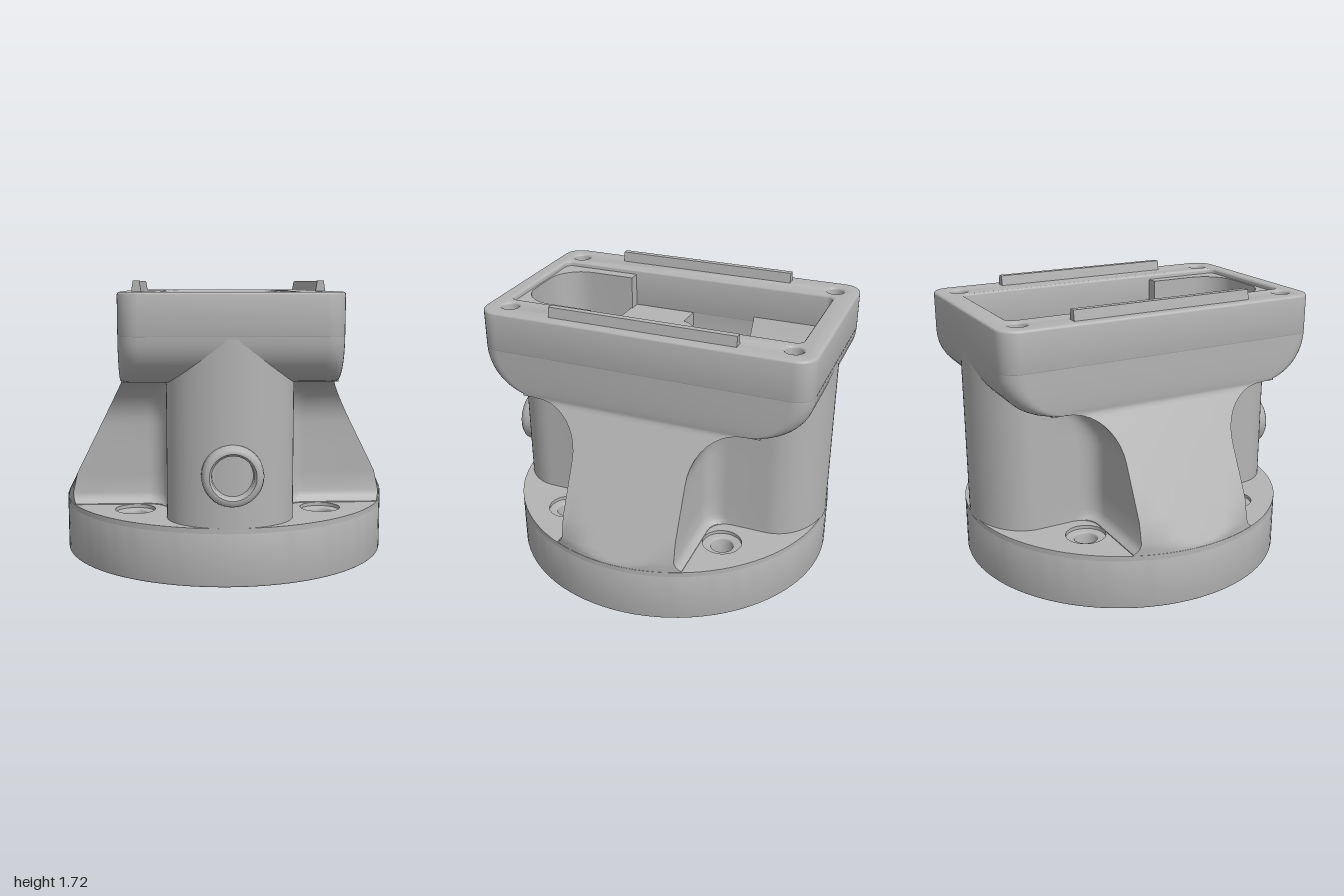
import * as THREE from 'three';
import { toCreasedNormals } from 'three/addons/utils/BufferGeometryUtils.js';

const metal = new THREE.MeshStandardMaterial({ color: 0xb4b4b4, side: THREE.DoubleSide });
metal.name = 'cast metal';

const V2 = (x, z) => new THREE.Vector2(x, z);
const END = 0.27; // depth of the body's curved ends

// Rounded rectangle in plan, as a closed ring of points
function roundedRect(hx, z0, z1, r, n = 8) {
  const pts = [];
  const corners = [[hx - r, z1 - r], [-hx + r, z1 - r], [-hx + r, z0 + r], [hx - r, z0 + r]];
  corners.forEach(([cx, cz], q) => {
    for (let i = 0; i <= n; i++) {
      const a = (q + i / n) * Math.PI / 2;
      pts.push(V2(cx + r * Math.cos(a), cz + r * Math.sin(a)));
    }
  });
  return pts;
}

function circle(cx, cz, r, n = 40) {
  return Array.from({ length: n }, (_, i) => {
    const a = i / n * Math.PI * 2;
    return V2(cx + r * Math.cos(a), cz + r * Math.sin(a));
  });
}

// Plan outline with holes, standing between two heights
function slab(outline, holes, y0, y1, bevel = 0) {
  const shape = new THREE.Shape(outline);
  shape.holes = holes.map(h => new THREE.Path(h));
  const g = new THREE.ExtrudeGeometry(shape, {
    depth: y1 - y0 - 2 * bevel, bevelEnabled: bevel > 0, bevelThickness: bevel,
    bevelSize: bevel, bevelOffset: -bevel, bevelSegments: 3, curveSegments: 24,
  });
  g.rotateX(Math.PI / 2).translate(0, y1 - bevel, 0);
  return toCreasedNormals(g, 0.6);
}

// Skin over plan rings stacked at given heights: rows of [y, ring]
function loft(rows) {
  const n = rows[0][1].length, pos = [], idx = [];
  rows.forEach(([y, ring]) => ring.forEach(p => pos.push(p.x, y, p.y)));
  for (let j = 0; j < rows.length - 1; j++) for (let i = 0; i < n; i++) {
    const a = j * n + i, b = j * n + (i + 1) % n;
    idx.push(a, a + n, b, b, a + n, b + n);
  }
  const g = new THREE.BufferGeometry();
  g.setAttribute('position', new THREE.Float32BufferAttribute(pos, 3));
  g.setIndex(idx);
  return toCreasedNormals(g, 0.6);
}

// Cross-shaped section of the pedestal: sloping side webs and round-ended body
function pedestalRing(y) {
  const R = 0.97, hx = 0.35;
  const reach = 0.6 + Math.max(0, 1.16 - y) * 0.5;
  const rise = Math.min(Math.max(y - 0.89, 0), 0.2799);
  const foot = 0.04 * Math.min(1, Math.max(0, 1 - (y - 0.42) / 0.06)) ** 2;
  const hw = Math.min(0.6, 0.625 - Math.sqrt(0.28 ** 2 - rise ** 2) + foot);
  const f = Math.min(0.11, 0.69 - hw);
  const quad = [];
  for (let i = 0; i <= 8; i++) {
    const z = hw * i / 8;
    quad.push(V2(Math.min(reach, Math.sqrt(R * R - z * z)), z));
  }
  for (let i = 0; i <= 6; i++) {
    const a = i / 6 * Math.PI / 2;
    quad.push(V2(hx + f - f * Math.sin(a), hw + f - f * Math.cos(a)));
  }
  for (let i = 0; i <= 16; i++) {
    const a = i / 16 * Math.PI / 2;
    quad.push(V2(hx * Math.cos(a), 0.975 - END + END * Math.sin(a)));
  }
  const left = quad.slice(0, -1).reverse().map(p => V2(-p.x, p.y));
  const half = [...quad, ...left];
  return [...half, ...half.slice(1, -1).reverse().map(p => V2(p.x, -p.y))];
}

export function createModel() {
  const model = new THREE.Group();
  model.name = 'housing';
  const add = (name, geometry) => {
    const m = new THREE.Mesh(geometry, metal);
    m.name = name;
    m.position.z = -0.025;
    model.add(m);
  };

  // Round flange with counterbored bolt holes and one blind hole
  const bolts = [];
  for (const sx of [-1, 1]) for (const sz of [-1, 1]) bolts.push([sx * 0.535, sz * 0.5]);
  const boltHoles = r => bolts.map(([x, z]) => circle(x, z, r, 24));
  add('flange', slab(circle(0, 0, 0.972, 96),
    [circle(0, 0, 0.36), circle(0.73, 0, 0.055, 20), ...boltHoles(0.065)], 0.09, 0.395, 0.01));
  add('flangeTop', slab(circle(0, 0, 0.972, 96), [circle(0, 0, 0.36), ...boltHoles(0.115)], 0.385, 0.415));

  // Locating ring underneath
  add('spigot', slab(circle(0, 0, 0.412, 64), [circle(0, 0, 0.345, 64)], 0, 0.12, 0.012));

  // Pedestal
  const rows = [0.4, 0.42, 0.435, 0.45, 0.48, 0.6, 0.75, 0.89];
  for (let i = 1; i <= 10; i++) rows.push(0.89 + 0.28 * Math.sin(i / 10 * Math.PI / 2));
  add('pedestal', loft(rows.map(y => [y, pedestalRing(y)])));

  // Round ends of the body running up into the top box
  for (const s of [-1, 1]) {
    const end = new THREE.CylinderGeometry(0.35, 0.35, 0.26, 40, 1, true, -Math.PI / 2, Math.PI);
    end.scale(1, 1, END / 0.35);
    if (s < 0) end.rotateY(Math.PI);
    add('bodyEnd', end.translate(0, 1.29, s * (0.975 - END)));
  }

  // Top box: rounded underside, then a straight rim with screw holes
  const under = [];
  for (let i = 0; i <= 10; i++) {
    const a = i / 10 * Math.PI / 2;
    const hz = 0.715 + 0.26 * Math.sin(a);
    under.push([1.43 - 0.26 * Math.cos(a), roundedRect(0.6, -hz, hz, 0.11)]);
  }
  add('boxUnderside', loft(under));
  const pocket = roundedRect(0.36, -0.85, 0.89, 0.04);
  const screws = [];
  for (const x of [-0.46, 0.46]) for (const z of [-0.835, 0.835]) screws.push(circle(x, z, 0.05, 20));
  add('rim', slab(roundedRect(0.6, -0.975, 0.975, 0.11), [pocket, ...screws], 1.42, 1.66, 0.014));
  const pocketBase = roundedRect(0.34, -0.77, 0.77, 0.12);
  add('pocketWall', loft([[1.17, pocketBase], [1.27, pocket], [1.43, pocket]]));
  for (const s of [-1, 1]) {
    add('boxFloor', new THREE.BoxGeometry(0.25, 0.01, 1.43).translate(s * 0.47, 1.175, 0));
    // Long rail on the rim
    const rail = new THREE.Shape([V2(-0.028, 0), V2(0.028, 0), V2(0.018, 0.06), V2(-0.018, 0.06)]);
    add('rail', new THREE.ExtrudeGeometry(rail, { depth: 1.1, bevelEnabled: false })
      .translate(s * 0.513, 1.658, -0.55));
    // Sloping sides of the rear pocket
    const ramp = new THREE.Shape([V2(s * 0.29, 1.26), V2(s * 0.12, 1.18), V2(s * 0.14, 1.22),
      V2(s * 0.29, 1.35), V2(s * 0.36, 1.46), V2(s * 0.36, 1.29)]);
    add('pocketRamp', new THREE.ExtrudeGeometry(ramp, { depth: 0.47, bevelEnabled: false })
      .translate(0, 0, -0.84));
  }

  // Bore, widened by a rear slot in its upper part
  const bore = new THREE.CylinderGeometry(0.36, 0.36, 0.75, 48, 1, true);
  add('bore', bore.translate(0, 0.475, 0));
  const keyhole = [V2(-0.12, -0.73), V2(-0.1, -0.755), V2(0.1, -0.755), V2(0.12, -0.73)];
  const gap = Math.asin(0.12 / 0.36);
  for (let i = 0; i <= 40; i++) {
    const a = -Math.PI / 2 + gap + (Math.PI * 2 - 2 * gap) * i / 40;
    keyhole.push(V2(0.36 * Math.cos(a), 0.36 * Math.sin(a)));
  }
  add('upperBore', loft([[0.85, keyhole], [1.17, keyhole]]));
  add('slotFloor', new THREE.BoxGeometry(0.24, 0.01, 0.405).translate(0, 0.85, -0.5575));
  add('pocketFloor', slab(roundedRect(0.365, -0.77, 0.77, 0.12), [keyhole], 1.165, 1.175));

  // Front shelf with a bored half-round boss
  const shelf = [V2(0.36, 0.025), V2(0.36, 0.42), V2(-0.36, 0.42), V2(-0.36, 0.025)];
  for (let i = 0; i <= 20; i++) {
    const a = Math.PI * (1.115 + 0.77 * i / 20);
    shelf.push(V2(0.225 * Math.cos(a), 0.11 + 0.225 * Math.sin(a)));
  }
  add('shelf', slab(shelf, [circle(0, 0.135, 0.098, 32)], 1.2, 1.43));

  // Ledge round the front recess, which is narrower than the pocket
  const recess = [V2(-0.29, 0.41), V2(0.29, 0.41)];
  for (let i = 0; i <= 16; i++) {
    const a = i / 16 * Math.PI;
    recess.push(V2(0.09 * Math.sign(Math.round(Math.cos(a) * 1e6)) + 0.2 * Math.cos(a), 0.68 + 0.2 * Math.sin(a)));
  }
  const ledge = [V2(0.36, 0.41), V2(0.36, 0.9), V2(-0.36, 0.9), V2(-0.36, 0.41), ...recess.slice(0, 1),
    ...recess.slice(2).reverse(), recess[1]];
  add('recessLedge', slab(ledge, [], 1.29, 1.63));
  add('recessFloor', new THREE.BoxGeometry(0.62, 0.01, 0.49).translate(0, 1.36, 0.645));

  // Raised port ring on the front
  const port = new THREE.LatheGeometry([V2(0, 0.11), V2(0.11, 0.11), V2(0.113, 0.155), V2(0.125, 0.17),
    V2(0.145, 0.17), V2(0.16, 0.155), V2(0.166, 0.13), V2(0.166, 0)], 40);
  port.rotateX(Math.PI / 2);
  add('portRing', toCreasedNormals(port.translate(0, 0.7, 0.855), 0.8));

  return model;
}
